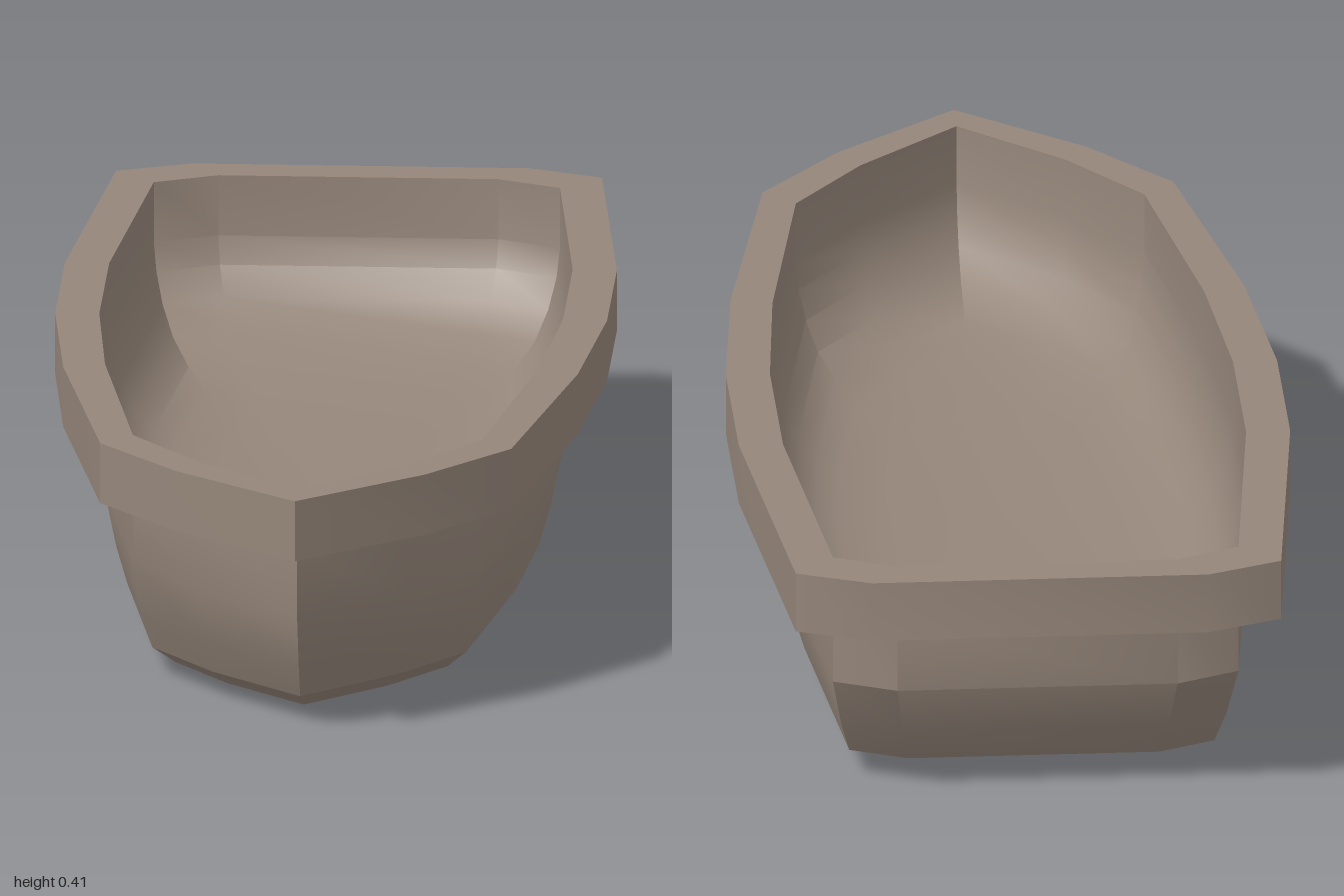
import * as THREE from 'three';
import { toCreasedNormals } from 'three/addons/utils/BufferGeometryUtils.js';

// Half outlines from bow to stern as [x, z]
const rimHalf = [[0, 1], [0.2, 0.83], [0.33, 0.67], [0.413, 0.22], [0.443, -0.1], [0.443, -0.4], [0.39, -0.95], [0.27, -1]];
const hullHalf = [[0, 0.93], [0.165, 0.775], [0.28, 0.62], [0.347, 0.2], [0.372, -0.1], [0.372, -0.4], [0.326, -0.885], [0.225, -0.932]];

// Mirror a half outline into a closed loop
const mirrored = (half) => [...half, ...half.slice(1).reverse().map(([x, z]) => [-x, z])];
const rimLoop = mirrored(rimHalf);
const hullLoop = mirrored(hullHalf);

// Skin a series of [loop, scale, y] sections; scale 0 closes to a point
function loft(sections) {
  const positions = [];
  const point = ([loop, s, y], i) => {
    const [x, z] = loop[i % loop.length];
    return [x * s, y, z * s];
  };
  for (let k = 0; k < sections.length - 1; k++) {
    const a = sections[k], b = sections[k + 1];
    for (let i = 0; i < a[0].length; i++) {
      const a0 = point(a, i), a1 = point(a, i + 1), b0 = point(b, i), b1 = point(b, i + 1);
      if (b[1] > 0) positions.push(...a0, ...b0, ...b1);
      if (a[1] > 0) positions.push(...a0, ...b1, ...a1);
    }
  }
  const geometry = new THREE.BufferGeometry();
  geometry.setAttribute('position', new THREE.Float32BufferAttribute(positions, 3));
  return toCreasedNormals(geometry, 0.48);
}

export function createModel() {
  const group = new THREE.Group();
  group.name = 'boat';
  const material = new THREE.MeshStandardMaterial({ color: 0x95867a });
  const add = (name, sections) => {
    const mesh = new THREE.Mesh(loft(sections), material);
    mesh.name = name;
    group.add(mesh);
  };

  // Rounded bowl inside, from the floor up to the rim
  add('interior', [[0, 0.125], [0.5, 0.13], [0.7, 0.142], [0.8, 0.158], [0.89, 0.185], [0.95, 0.225], [0.985, 0.27], [1, 0.315], [1, 0.415]]
    .map(([s, y]) => [hullLoop, s, y]));

  // Overhanging gunwale: top, side and underside
  add('gunwale', [[hullLoop, 1, 0.415], [rimLoop, 1, 0.415], [rimLoop, 1, 0.315], [hullLoop, 1, 0.315]]);

  // Outer hull, tapering to a flat bottom
  add('hull', [[1, 0.315], [1, 0.2], [0.95, 0.11], [0.9, 0.045], [0.78, 0], [0, 0]]
    .map(([s, y]) => [hullLoop, s, y]));

  return group;
}
